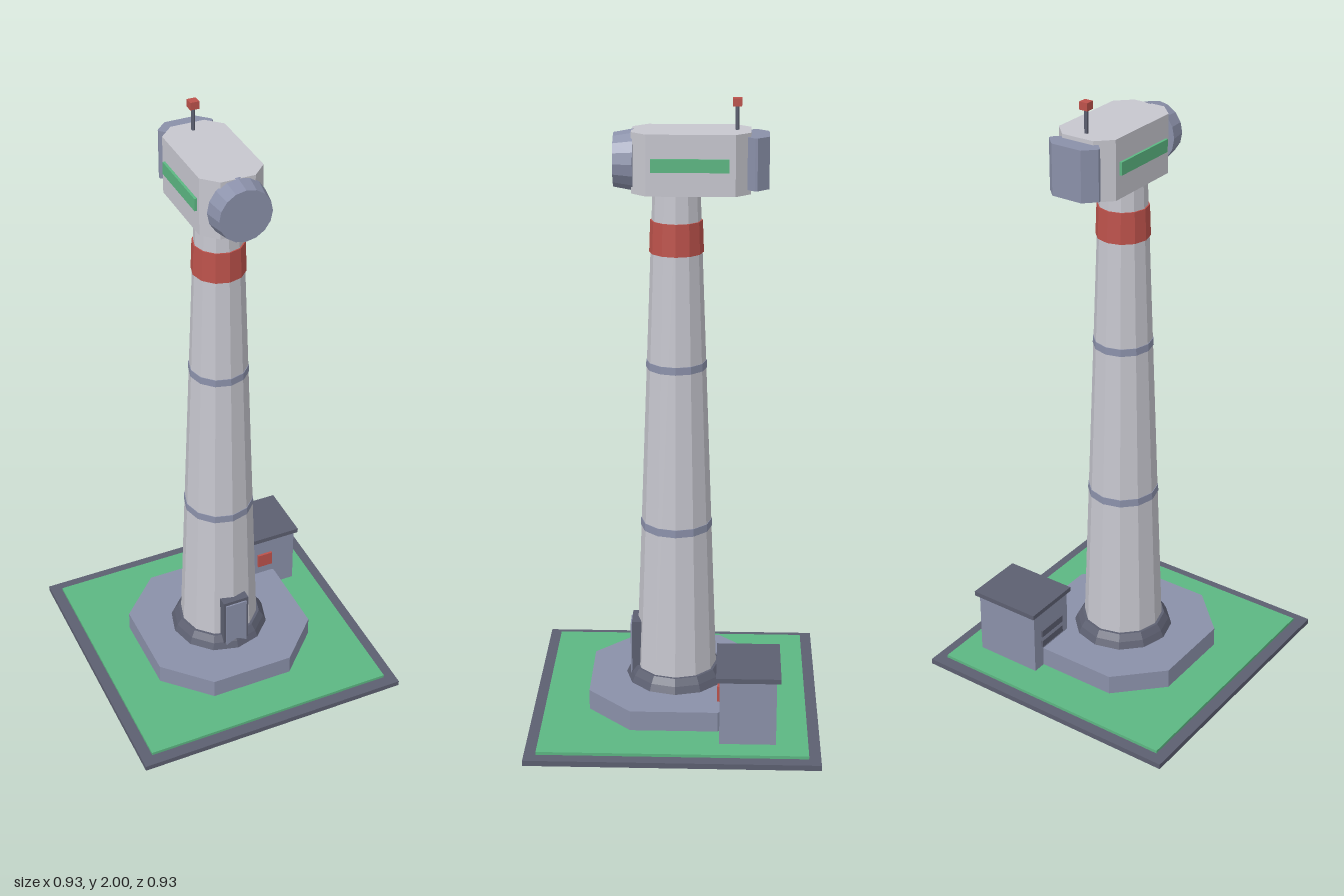
import * as THREE from 'three';

const paint = (name, color) => {
  const m = new THREE.MeshStandardMaterial({ color });
  m.name = name;
  return m;
};

export function createModel() {
  const model = new THREE.Group();
  model.name = 'turbineTower';
  const shell = paint('lightGrey', 0xc6c6ce);
  const steel = paint('blueGrey', 0x8a90a9);
  const dark = paint('darkGrey', 0x5c5f70);
  const green = paint('green', 0x5cb682);
  const red = paint('red', 0xbc524b);

  // Adds a faceted mesh
  const add = (name, geometry, material, x = 0, y = 0, z = 0) => {
    const flat = geometry.index ? geometry.toNonIndexed() : geometry;
    flat.computeVertexNormals();
    const mesh = new THREE.Mesh(flat, material);
    mesh.name = name;
    mesh.position.set(x, y, z);
    model.add(mesh);
    return mesh;
  };

  // Box given by its limits on each axis
  const box = (name, material, [x0, x1], [y0, y1], [z0, z1]) =>
    add(name, new THREE.BoxGeometry(x1 - x0, y1 - y0, z1 - z0), material,
      (x0 + x1) / 2, (y0 + y1) / 2, (z0 + z1) / 2);

  // Upright prism with cut corners
  const cutBox = (name, material, halfX, [y0, y1], [z0, z1], cut) => {
    const w = halfX - cut, a = -z1, b = -z0;
    const outline = [[-w, a], [w, a], [halfX, a + cut], [halfX, b - cut],
      [w, b], [-w, b], [-halfX, b - cut], [-halfX, a + cut]];
    const shape = new THREE.Shape(outline.map(([x, y]) => new THREE.Vector2(x, y)));
    const geometry = new THREE.ExtrudeGeometry(shape, { depth: y1 - y0, bevelEnabled: false });
    geometry.rotateX(-Math.PI / 2);
    return add(name, geometry, material, 0, y0, 0);
  };

  // Ground plate, lawn and foundation
  box('groundPlate', dark, [-0.465, 0.465], [0, 0.018], [-0.465, 0.465]);
  box('lawn', green, [-0.427, 0.427], [0.018, 0.028], [-0.427, 0.427]);
  cutBox('foundation', steel, 0.28, [0.028, 0.095], [-0.28, 0.28], 0.14);

  // Stepped collar around the tower foot
  const collar = [[0.165, 0.095], [0.155, 0.118], [0.14, 0.14], [0.1, 0.14]];
  add('collar', new THREE.LatheGeometry(collar.map(([r, y]) => new THREE.Vector2(r, y)), 12), dark);

  // Tapered tower and its bands
  const bottom = 0.095, top = 1.73;
  const radiusAt = (y) => 0.131 - 0.0365 * (y - 0.14);
  const ring = (name, material, y0, y1, extra) =>
    add(name, new THREE.CylinderGeometry(radiusAt(y1) + extra, radiusAt(y0) + extra, y1 - y0, 12),
      material, 0, (y0 + y1) / 2, 0);
  ring('tower', shell, bottom, top, 0);
  ring('lowerBand', steel, 0.625, 0.65, 0.002);
  ring('upperBand', steel, 1.16, 1.184, 0.002);
  ring('warningBand', red, 1.53, 1.63, 0.004);

  // Tower door
  box('doorFrame', dark, [-0.045, 0.045], [0.095, 0.297], [0.1, 0.145]);
  box('doorPanel', steel, [-0.037, 0.037], [0.1, 0.285], [0.145, 0.15]);

  // Nacelle with side stripes and rear cooler
  cutBox('nacelle', shell, 0.1, [1.72, 1.905], [-0.225, 0.135], 0.046);
  cutBox('rearCooler', steel, 0.087, [1.735, 1.893], [-0.28, -0.2], 0.036);
  for (const side of [-1, 1]) {
    add('sideStripe', new THREE.BoxGeometry(0.009, 0.04, 0.235), green, side * 0.1035, 1.813, -0.043);
  }

  // Front hub
  const hub = new THREE.CylinderGeometry(0.083, 0.094, 0.06, 16);
  hub.rotateX(Math.PI / 2);
  add('hub', hub, steel, 0, 1.813, 0.16);

  // Mast with beacon
  add('mast', new THREE.CylinderGeometry(0.006, 0.006, 0.08, 6), dark, 0, 1.94, -0.182);
  box('beacon', red, [-0.014, 0.014], [1.976, 2], [-0.196, -0.168]);

  // Equipment hut with sign and vents
  box('hut', steel, [0.13, 0.358], [0.028, 0.248], [-0.325, -0.146]);
  box('hutRoof', dark, [0.122, 0.369], [0.246, 0.262], [-0.338, -0.135]);
  box('hutSign', red, [0.218, 0.271], [0.13, 0.182], [-0.146, -0.138]);
  for (const y of [0.12, 0.16]) {
    box('hutVent', dark, [0.123, 0.13], [y - 0.012, y + 0.012], [-0.29, -0.18]);
  }

  return model;
}
